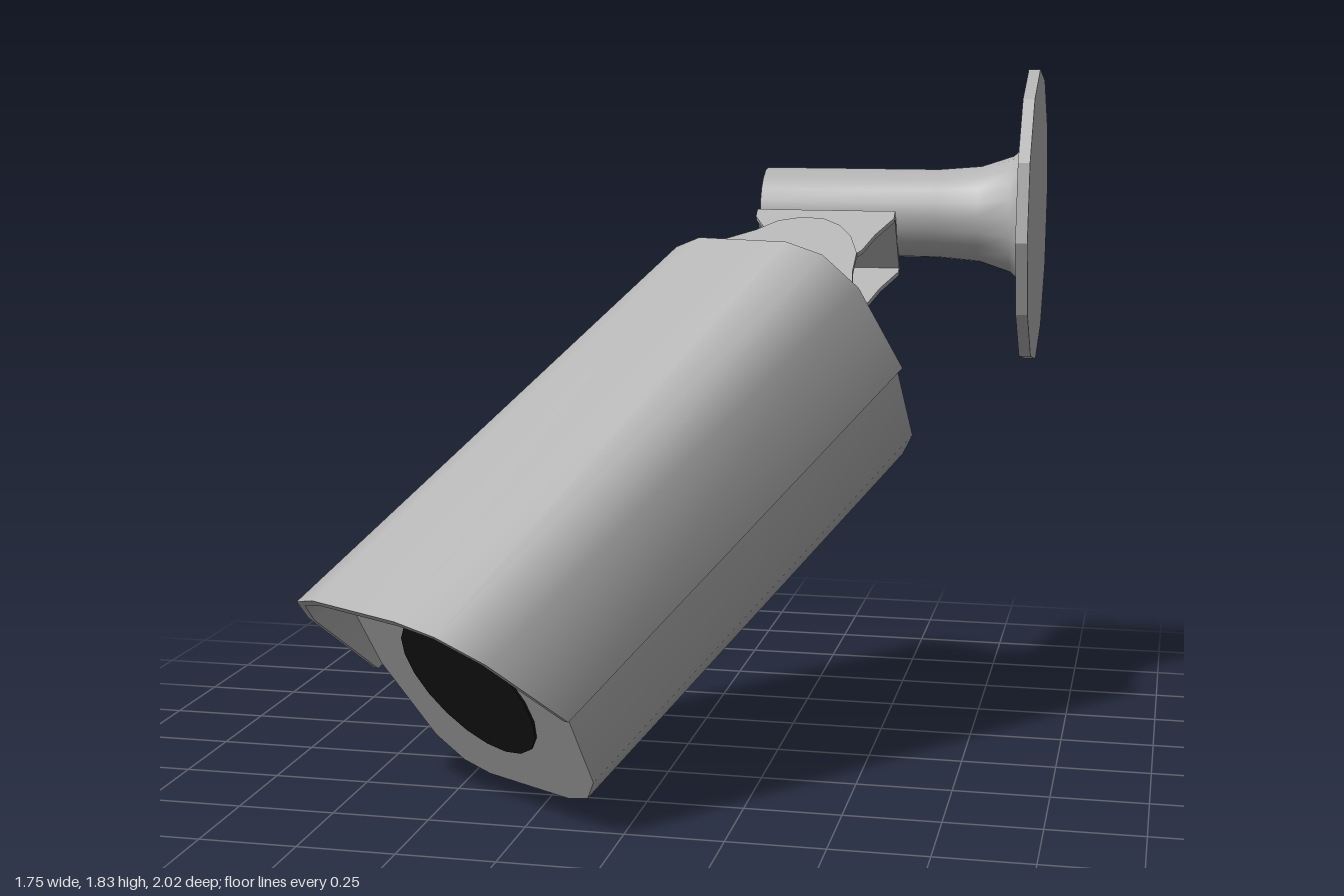
import * as THREE from 'three';
import { toCreasedNormals } from 'three/addons/utils/BufferGeometryUtils.js';

const V = (x, y, z) => new THREE.Vector3(x, y, z);

export function createModel() {
  const model = new THREE.Group();
  model.name = 'wallCamera';
  const grey = new THREE.MeshStandardMaterial({ color: 0xb4b4b4 });
  grey.name = 'casing grey';
  const black = new THREE.MeshStandardMaterial({ color: 0x181818 });
  black.name = 'lens black';

  const add = (parent, name, geometry, material = grey, crease = 0.75) => {
    const mesh = new THREE.Mesh(crease ? toCreasedNormals(geometry, crease) : geometry, material);
    mesh.name = name;
    parent.add(mesh);
    return mesh;
  };

  // Group placed at an origin with the given x and y directions
  const frame = (name, origin, xDir, yDir) => {
    const x = xDir.clone().normalize();
    const z = x.clone().cross(yDir).normalize();
    const y = z.clone().cross(x);
    const group = new THREE.Group();
    group.name = name;
    group.quaternion.setFromRotationMatrix(new THREE.Matrix4().makeBasis(x, y, z));
    group.position.copy(origin);
    model.add(group);
    return group;
  };

  // Half section mirrored to run from the right seam to the left seam
  const arch = (half) => [
    ...half.map(([x, y]) => new THREE.Vector2(x, y)),
    ...half.slice().reverse().map(([x, y]) => new THREE.Vector2(-x, y)),
  ];
  const extrude = (points, depth) =>
    new THREE.ExtrudeGeometry(new THREE.Shape(points), { depth, bevelEnabled: false });

  // Camera housing: local z runs from the back cap to the lens
  const length = 1.4;
  const housing = frame('housing', V(0.225, 1.036, -0.397), V(0.823, 0.03, 0.568), V(-0.316, 0.854, 0.413));
  const inner = arch([[0.375, 0], [0.343, 0.25], [0.265, 0.345], [0.16, 0.372]]);
  const outer = arch([[0.396, -0.01], [0.365, 0.255], [0.285, 0.358], [0.17, 0.395]]);
  const lower = arch([[0.375, -0.01], [0.32, -0.25], [0.25, -0.325], [0.16, -0.351]]);
  add(housing, 'body', extrude([...inner, ...lower.slice().reverse()], length));

  // Sun hood: thin shell whose front edge slants forward towards the top
  const lip = [new THREE.Vector2(-0.377, -0.01), ...inner.slice().reverse(), new THREE.Vector2(0.377, -0.01)];
  const hood = extrude([...outer, ...lip], length);
  const p = hood.attributes.position;
  for (let i = 0; i < p.count; i++) {
    if (p.getZ(i) > length / 2) p.setZ(i, length + 0.02 + 0.36 * p.getY(i));
  }
  add(housing, 'sunHood', hood);

  // Lens window
  const lens = new THREE.CylinderGeometry(0.223, 0.223, 0.008, 20);
  lens.rotateX(Math.PI / 2).translate(0, 0, length + 0.002);
  add(housing, 'lens', lens, black);

  // Hinge bracket: base plate with two scalloped cheeks
  const bracket = (group, width, span) => {
    const t = 0.015;
    const base = new THREE.BoxGeometry(width, t, span);
    base.translate(0, t / 2, 0);
    add(group, 'bracketBase', base);
    const half = [[0.5, 0], [0.5, 0.03], [0.385, 0.1], [0.31, 0.165], [0.19, 0.212], [0.06, 0.235]];
    const profile = arch(half.map(([x, y]) => [x * width, y]));
    for (const side of [-1, 1]) {
      const cheek = extrude(profile, t);
      cheek.translate(0, 0, side * (span / 2 - t / 2) - t / 2);
      add(group, 'bracketCheek', cheek, grey, 0.6);
    }
  };
  bracket(frame('cameraBracket', V(0.213, 1.2, -0.29), V(0.881, -0.288, 0.375), V(0.485, 0.52, -0.703)), 0.43, 0.225);
  bracket(frame('armBracket', V(0.3, 1.355, -0.505), V(-1, 0, 0), V(0, -0.594, 0.804)), 0.39, 0.215);

  // Arm flaring towards the wall, turned about x
  const arm = new THREE.LatheGeometry(
    [[0, 0.107], [0.125, 0.107], [0.125, 0.6], [0.135, 0.72], [0.165, 0.81], [0.19, 0.835], [0.215, 0.85], [0, 0.85]]
      .map(([r, x]) => new THREE.Vector2(r, x)), 20);
  arm.rotateZ(-Math.PI / 2).translate(0, 1.425, -0.595);
  add(model, 'arm', arm);

  // Twelve-sided wall plate
  const plate = new THREE.CylinderGeometry(0.412, 0.412, 0.032, 12, 1, false, -0.426);
  plate.rotateZ(-Math.PI / 2).translate(0.864, 1.422, -0.59);
  add(model, 'wallPlate', plate, grey, 0.4);

  return model;
}
